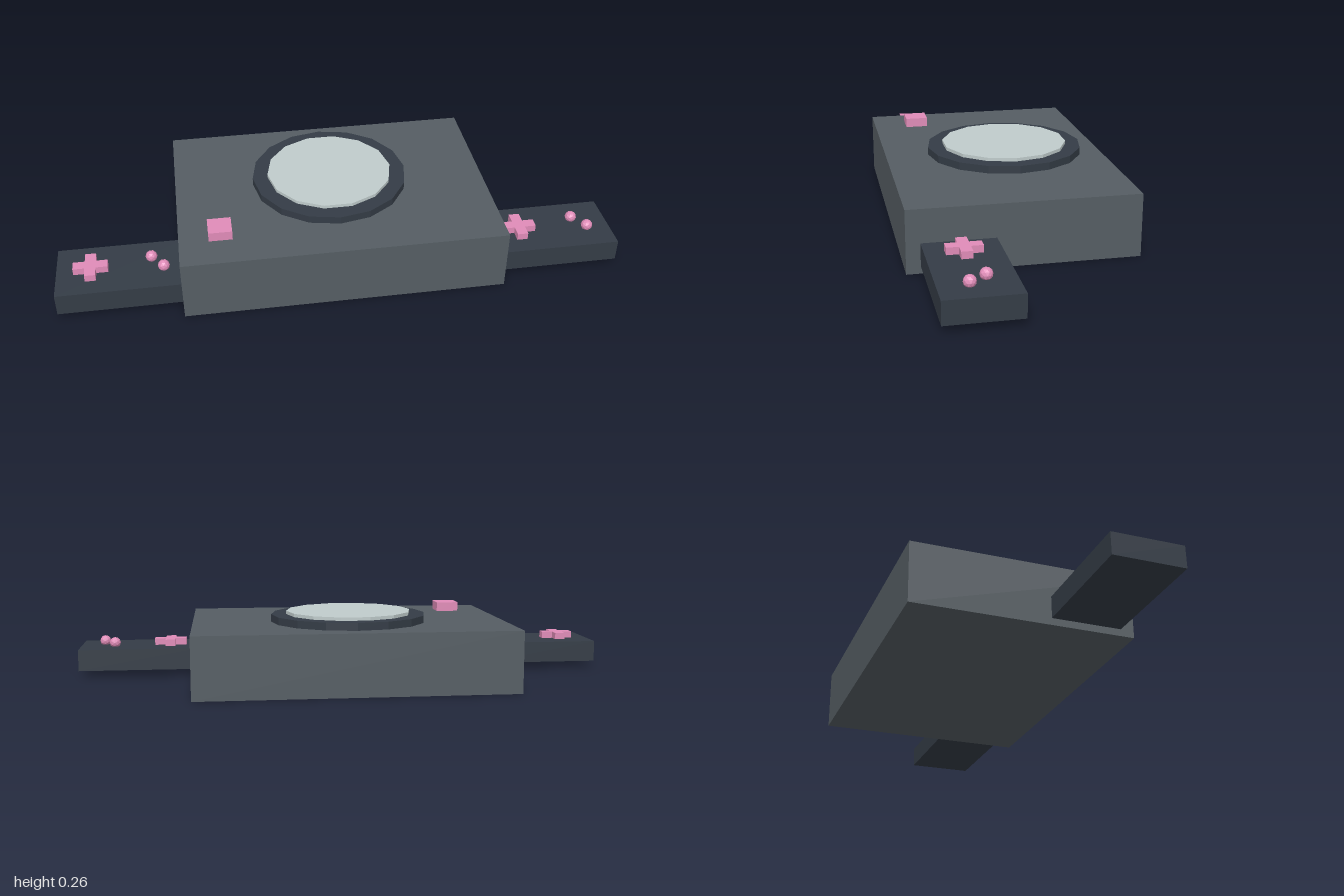
import * as THREE from 'three';

const material = (color) => new THREE.MeshStandardMaterial({ color, flatShading: true });

export function createModel() {
  const model = new THREE.Group();
  model.name = 'console';
  const grey = material(0x555d63);
  const dark = material(0x343c46);
  const pale = material(0xc0cccc);
  const pink = material(0xe08cb8);

  const add = (parent, name, geometry, mat, x, y, z) => {
    const mesh = new THREE.Mesh(geometry, mat);
    mesh.name = name;
    mesh.position.set(x, y, z);
    parent.add(mesh);
    return mesh;
  };

  // Main body, with a button near the front
  add(model, 'body', new THREE.BoxGeometry(1.138, 0.221, 0.788), grey, 0, 0.1105, 0);
  add(model, 'topButton', new THREE.BoxGeometry(0.083, 0.034, 0.083), pink, -0.424, 0.239, 0.231);

  // Round dial: dark bezel and a pale lens standing slightly proud
  add(model, 'bezel', new THREE.CylinderGeometry(0.284, 0.284, 0.027, 16), dark, 0, 0.2345, -0.045);
  const lens = add(model, 'lens', new THREE.CylinderGeometry(0.229, 0.229, 0.027, 14), pale, 0, 0.2465, -0.045);
  lens.rotation.y = Math.PI / 14;

  // Cross-shaped pad outline: arm length a, half arm width b
  const a = 0.06, b = 0.019;
  const cross = new THREE.Shape([
    [a, -b], [a, b], [b, b], [b, a], [-b, a], [-b, b],
    [-a, b], [-a, -b], [-b, -b], [-b, -a], [b, -a], [b, -b],
  ].map(([x, y]) => new THREE.Vector2(x, y)));
  const crossGeometry = new THREE.ExtrudeGeometry(cross, { depth: 0.026, bevelEnabled: false });
  crossGeometry.rotateX(-Math.PI / 2);
  const ballGeometry = new THREE.IcosahedronGeometry(0.021, 1);

  // Side controllers: same layout repeated on both sides
  for (const [name, x] of [['rightController', -0.7745], ['leftController', 0.7745]]) {
    const controller = new THREE.Group();
    controller.name = name;
    controller.position.set(x, 0, 0.221);
    model.add(controller);
    // The inner end runs a little way into the body
    add(controller, 'controllerBase', new THREE.BoxGeometry(0.451, 0.079, 0.25), dark, 0, 0.065, 0);
    add(controller, 'directionPad', crossGeometry, pink, x < 0 ? -0.106 : -0.113, 0.1035, 0);
    const shift = x < 0 ? 0.105 : 0.097;
    add(controller, 'roundButtonBack', ballGeometry, pink, shift, 0.118, -0.03);
    add(controller, 'roundButtonFront', ballGeometry, pink, shift + 0.042, 0.118, 0.027);
  }
  return model;
}
